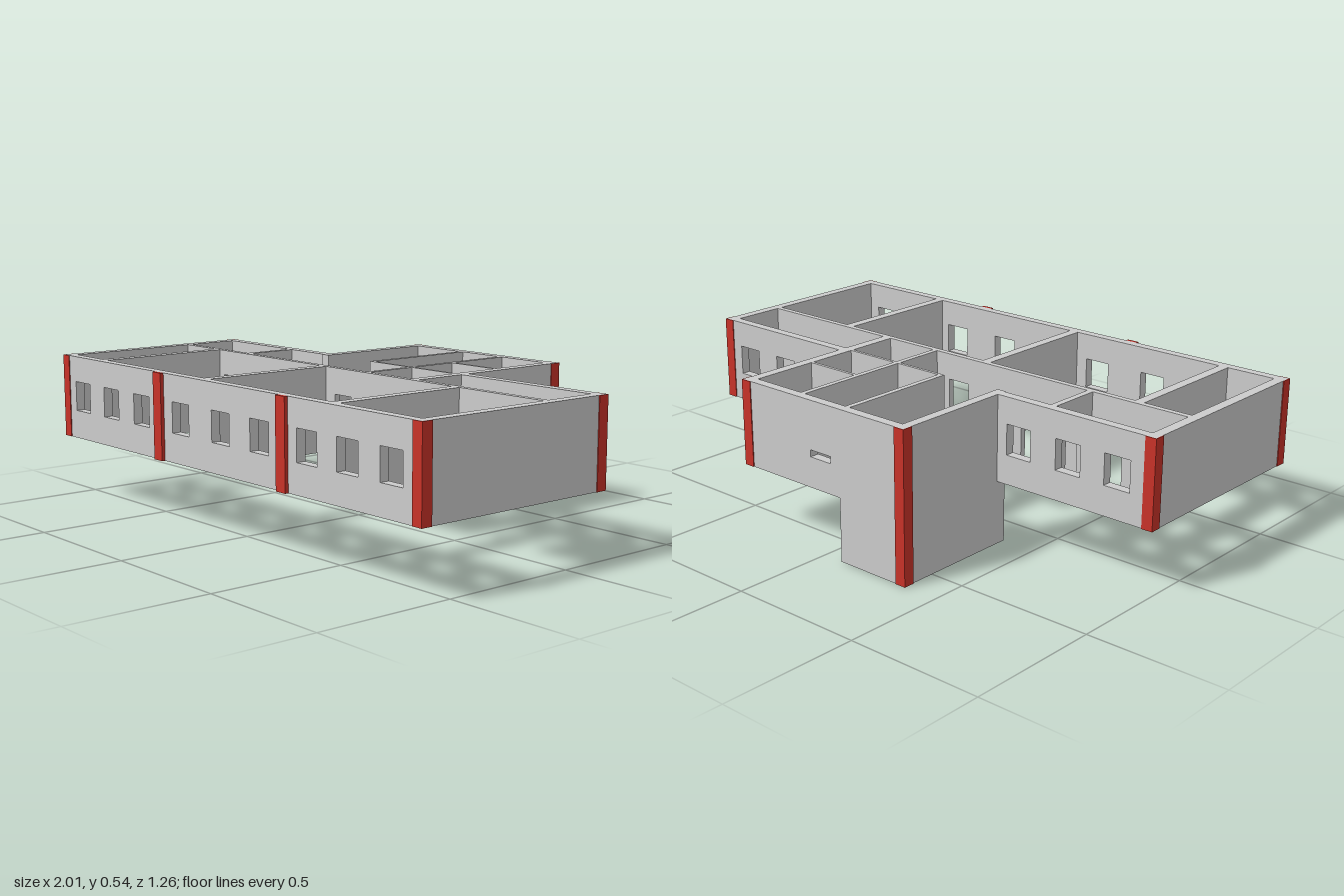
import * as THREE from 'three';

const BASE = 0.23, TOP = 0.54;

export function createModel() {
  const model = new THREE.Group();
  const grey = new THREE.MeshStandardMaterial({ color: 0xcccccc, flatShading: true });
  const red = new THREE.MeshStandardMaterial({ color: 0xc83228, flatShading: true });

  function box(name, x0, x1, y0, y1, z0, z1, material = grey) {
    const mesh = new THREE.Mesh(new THREE.BoxGeometry(x1 - x0, y1 - y0, z1 - z0), material);
    mesh.position.set((x0 + x1) / 2, (y0 + y1) / 2, (z0 + z1) / 2);
    mesh.name = name;
    model.add(mesh);
  }

  // Wall running from a to b along an axis, spanning c0..c1 across it.
  // Doors notch the bottom edge; windows are rectangles [u0, u1, y0, y1].
  function wall(name, axis, a, b, c0, c1, { doors = [], windows = [] } = {}) {
    const shape = new THREE.Shape();
    shape.moveTo(a, BASE);
    for (const d of doors) {
      shape.lineTo(d - 0.045, BASE);
      shape.lineTo(d - 0.045, 0.445);
      shape.lineTo(d + 0.045, 0.445);
      shape.lineTo(d + 0.045, BASE);
    }
    shape.lineTo(b, BASE);
    shape.lineTo(b, TOP);
    shape.lineTo(a, TOP);
    shape.closePath();
    for (const [u0, u1, y0, y1] of windows) {
      const hole = new THREE.Path();
      hole.moveTo(u0, y0);
      hole.lineTo(u0, y1);
      hole.lineTo(u1, y1);
      hole.lineTo(u1, y0);
      hole.closePath();
      shape.holes.push(hole);
    }
    const t = c1 - c0, c = (c0 + c1) / 2;
    const geometry = new THREE.ExtrudeGeometry(shape, { depth: t, bevelEnabled: false });
    geometry.translate(0, 0, -t / 2);
    if (axis === 'z') geometry.rotateY(-Math.PI / 2);
    geometry.translate(axis === 'z' ? c : 0, 0, axis === 'z' ? 0 : c);
    const mesh = new THREE.Mesh(geometry, grey);
    mesh.name = name;
    model.add(mesh);
  }
  const win = (x) => [x - 0.05, x + 0.05, 0.335, 0.445];

  // Outer walls of the long wing
  wall('frontWall', 'x', -1, 1, 0.58, 0.615,
    { windows: [-0.87, -0.67, -0.467, -0.22, 0.015, 0.23, 0.475, 0.67, 0.87].map(win) });
  wall('rightEndWall', 'z', -0.175, 0.58, -1, -0.963);
  wall('leftEndWall', 'z', -0.175, 0.58, 0.963, 1);
  wall('rightRearWall', 'x', -0.963, -0.37, -0.175, -0.14, { windows: [-0.86, -0.665, -0.46].map(win) });
  wall('leftRearWall', 'x', 0.38, 0.963, -0.175, -0.14, { windows: [0.475, 0.67, 0.87].map(win) });

  // Outer walls of the rear block
  wall('rearBlockBackWall', 'x', -0.37, 0.38, -0.63, -0.595, { windows: [[-0.04, 0.055, 0.34, 0.365]] });
  wall('rearBlockRightWall', 'z', -0.595, -0.135, -0.37, -0.335);
  wall('rearBlockLeftWall', 'z', -0.595, 0.055, 0.343, 0.38, { doors: [-0.04] });

  // Corridor wall and classroom partitions
  wall('corridorWall', 'x', -0.963, 0.963, 0.055, 0.077, { doors: [-0.865, -0.67, -0.33, 0.005, 0.475, 0.67] });
  for (const x of [-0.762, -0.107, 0.576]) wall('classroomPartition', 'z', 0.077, 0.58, x - 0.018, x + 0.018);

  // Partitions behind the corridor
  wall('corridorCrossWall', 'z', -0.14, 0.055, -0.588, -0.565, { doors: [-0.04] });
  wall('corridorCrossWall', 'z', -0.14, 0.055, 0.11, 0.13, { doors: [-0.04] });
  wall('rearRoomPartition', 'z', -0.595, -0.14, 0.11, 0.13);
  wall('stairPartition', 'z', -0.595, -0.14, -0.1, -0.08);
  wall('rearRoomFrontWall', 'x', -0.08, 0.343, -0.15, -0.138, { doors: [0.015, 0.235] });
  wall('washroomPartition', 'x', 0.13, 0.343, -0.347, -0.335);

  // Stairwell reaching down to the ground
  box('stairwellBackWall', -0.37, -0.08, 0, BASE, -0.63, -0.595);
  box('stairwellSideWall', -0.37, -0.335, 0, BASE, -0.595, -0.135);
  box('stairwellFloor', -0.335, -0.08, 0, 0.006, -0.595, -0.135);
  box('stairLanding', -0.335, -0.095, 0.103, 0.118, -0.595, -0.49);
  const steps = 8, run = 0.32 / steps, rise = 0.112 / steps;
  for (let i = 0; i < steps; i++) {
    const zLow = -0.17 - i * run, yLow = 0.006 + i * rise;
    box('lowerStep', -0.215, -0.1, yLow, yLow + rise, zLow - run * 1.3, zLow);
    const zHigh = -0.49 + i * run, yHigh = 0.118 + i * rise;
    box('upperStep', -0.335, -0.215, yHigh, yHigh + rise, zHigh, zHigh + run * 1.3);
  }

  // Red corner strips, wrapping both faces of each outer corner
  const corners = [[-1, 0.615, 1], [1, 0.615, 1], [-1, -0.175, -1], [1, -0.175, -1], [-0.37, -0.63, -1], [0.38, -0.63, -1]];
  const skin = 0.003, width = 0.038;
  for (const [x, z, sz] of corners) {
    const sx = Math.sign(x);
    const y0 = x === -0.37 ? 0 : BASE;
    const span = (p, q) => [Math.min(p, q), Math.max(p, q)];
    box('cornerStrip', ...span(x - sx * width, x + sx * skin), y0 === 0 ? 0 : BASE, TOP, ...span(z, z + sz * skin), red);
    box('cornerStrip', ...span(x, x + sx * skin), y0, TOP, ...span(z - sz * width, z), red);
  }

  // Red pilasters on the front
  for (const x of [-0.345, 0.357]) box('frontPilaster', x - 0.024, x + 0.024, BASE, TOP, 0.615, 0.628, red);

  return model;
}
